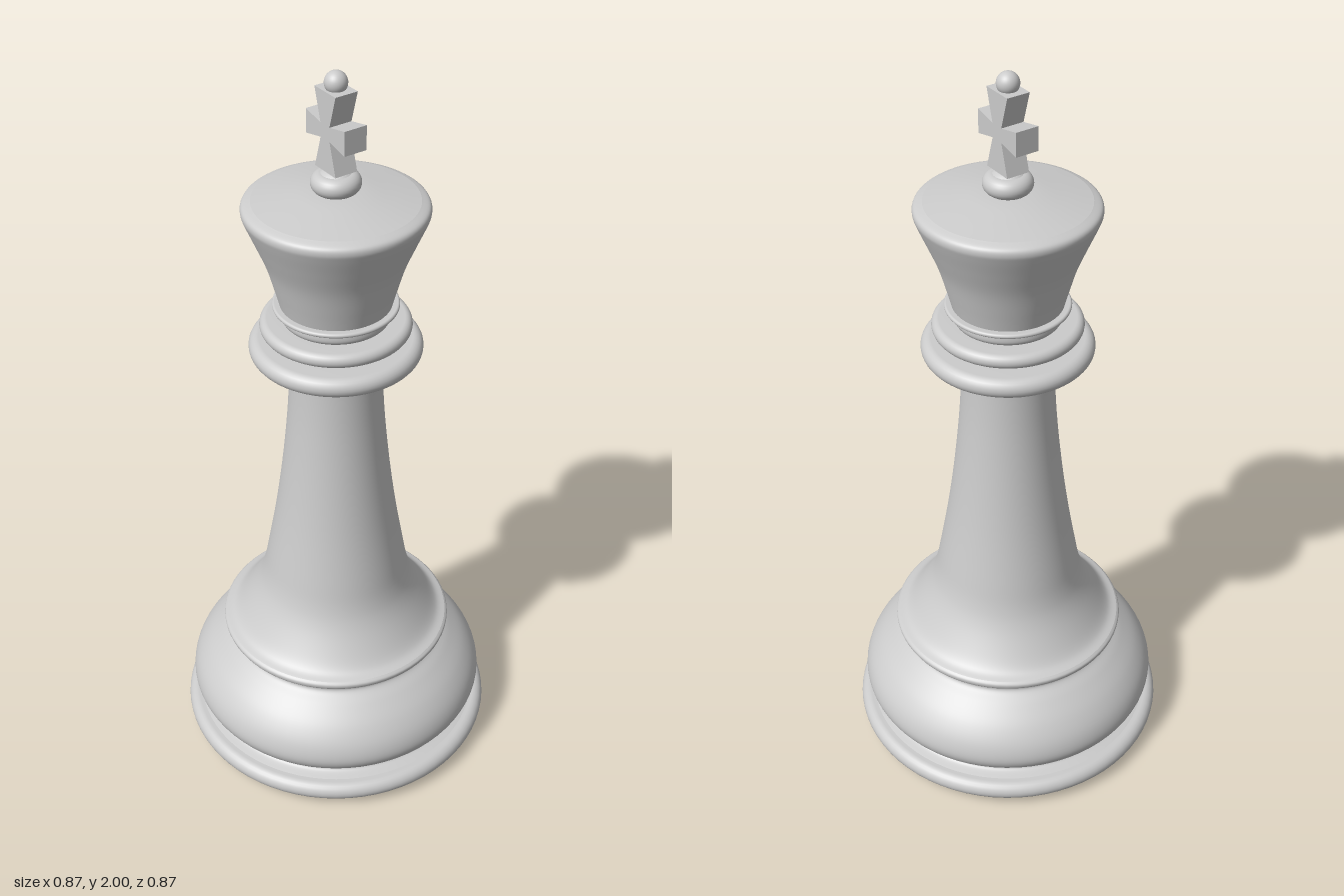
import * as THREE from 'three';

const grey = new THREE.MeshStandardMaterial({ color: 0xcccccc, side: THREE.DoubleSide });
const felt = new THREE.MeshStandardMaterial({ color: 0x14251c });

const vectors = (pts) => pts.map(([r, y]) => new THREE.Vector2(r, y));

// Smooth turned part: a spline through [radius, height] points, bottom to top
function turned(name, pts, steps = 6) {
  const profile = new THREE.SplineCurve(vectors(pts)).getPoints((pts.length - 1) * steps);
  profile.forEach((p) => { p.x = Math.max(p.x, 0); });
  const mesh = new THREE.Mesh(new THREE.LatheGeometry(profile, 72), grey);
  mesh.name = name;
  return mesh;
}

// Flat-sided disc with a rounded rim, from the core radius out to r
function ring(name, core, r, y0, y1) {
  const h = (y1 - y0) / 2, c = r - h;
  const pts = [new THREE.Vector2(core, y0)];
  for (let i = 0; i <= 12; i++) {
    const a = -Math.PI / 2 + (i / 12) * Math.PI;
    pts.push(new THREE.Vector2(c + h * Math.cos(a), y0 + h + h * Math.sin(a)));
  }
  pts.push(new THREE.Vector2(core, y1));
  const mesh = new THREE.Mesh(new THREE.LatheGeometry(pts, 72), grey);
  mesh.name = name;
  return mesh;
}

// Cross with four flared arms
function cross() {
  const waist = 0.018, tipX = 0.042, tipY = 0.031, reachX = 0.078, reachY = 0.1;
  const shape = new THREE.Shape(vectors([
    [-tipX, -reachY], [tipX, -reachY], [waist, -waist],
    [reachX, -tipY], [reachX, tipY], [waist, waist],
    [tipX, reachY], [-tipX, reachY], [-waist, waist],
    [-reachX, tipY], [-reachX, -tipY], [-waist, -waist],
  ]));
  const geometry = new THREE.ExtrudeGeometry(shape, { depth: 0.062, bevelEnabled: false });
  geometry.translate(0, 1.857, -0.031);
  const mesh = new THREE.Mesh(geometry, grey);
  mesh.name = 'cross';
  return mesh;
}

export function createModel() {
  const model = new THREE.Group();
  model.name = 'chessKing';

  // Felt pad under the base
  const pad = new THREE.Mesh(new THREE.CylinderGeometry(0.385, 0.385, 0.022, 72), felt);
  pad.name = 'feltPad';
  pad.position.y = 0.011;
  model.add(pad);

  // Base: foot ring, groove, bulge and upper ring
  model.add(ring('footRing', 0.3, 0.437, 0.02, 0.075));
  model.add(turned('footGroove', [[0.4, 0.075], [0.376, 0.082], [0.37, 0.092], [0.376, 0.1]]));
  model.add(turned('baseBulge', [
    [0.376, 0.1], [0.404, 0.125], [0.416, 0.16], [0.405, 0.205], [0.374, 0.25],
    [0.33, 0.29], [0.3, 0.312], [0.295, 0.325], [0.303, 0.337],
  ]));
  model.add(turned('baseRing', [[0.303, 0.337], [0.317, 0.347], [0.32, 0.36], [0.313, 0.368]]));

  // Stem, flaring down to the base ring
  model.add(turned('stem', [
    [0.313, 0.368], [0.288, 0.38], [0.26, 0.415], [0.224, 0.475], [0.203, 0.53], [0.187, 0.61],
    [0.163, 0.75], [0.143, 0.9], [0.128, 1.05], [0.121, 1.17], [0.12, 1.25],
  ]));

  // Collar: three rings stacked on a neck
  model.add(ring('lowerCollar', 0.1, 0.222, 1.242, 1.295));
  model.add(turned('neck', [[0.155, 1.29], [0.125, 1.302], [0.13, 1.34], [0.14, 1.36], [0.137, 1.39]]));
  model.add(ring('middleCollar', 0.1, 0.193, 1.312, 1.35));
  model.add(ring('upperCollar', 0.1, 0.16, 1.382, 1.394));

  // Flared head with a shallow domed top
  model.add(turned('head', [
    [0.142, 1.394], [0.154, 1.44], [0.174, 1.51], [0.2, 1.575], [0.223, 1.63],
    [0.23, 1.652], [0.225, 1.667], [0.205, 1.676],
  ]));
  model.add(turned('headTop', [[0.205, 1.676], [0.14, 1.687], [0.07, 1.697], [0, 1.7]]));

  // Finial: button, cross and ball
  model.add(ring('finialButton', 0, 0.062, 1.697, 1.747));
  model.add(turned('finialDome', [[0.04, 1.745], [0.025, 1.754], [0, 1.758]]));
  model.add(cross());
  const ball = new THREE.Mesh(new THREE.SphereGeometry(0.028, 32, 20), grey);
  ball.name = 'finialBall';
  ball.position.y = 1.972;
  model.add(ball);

  return model;
}
